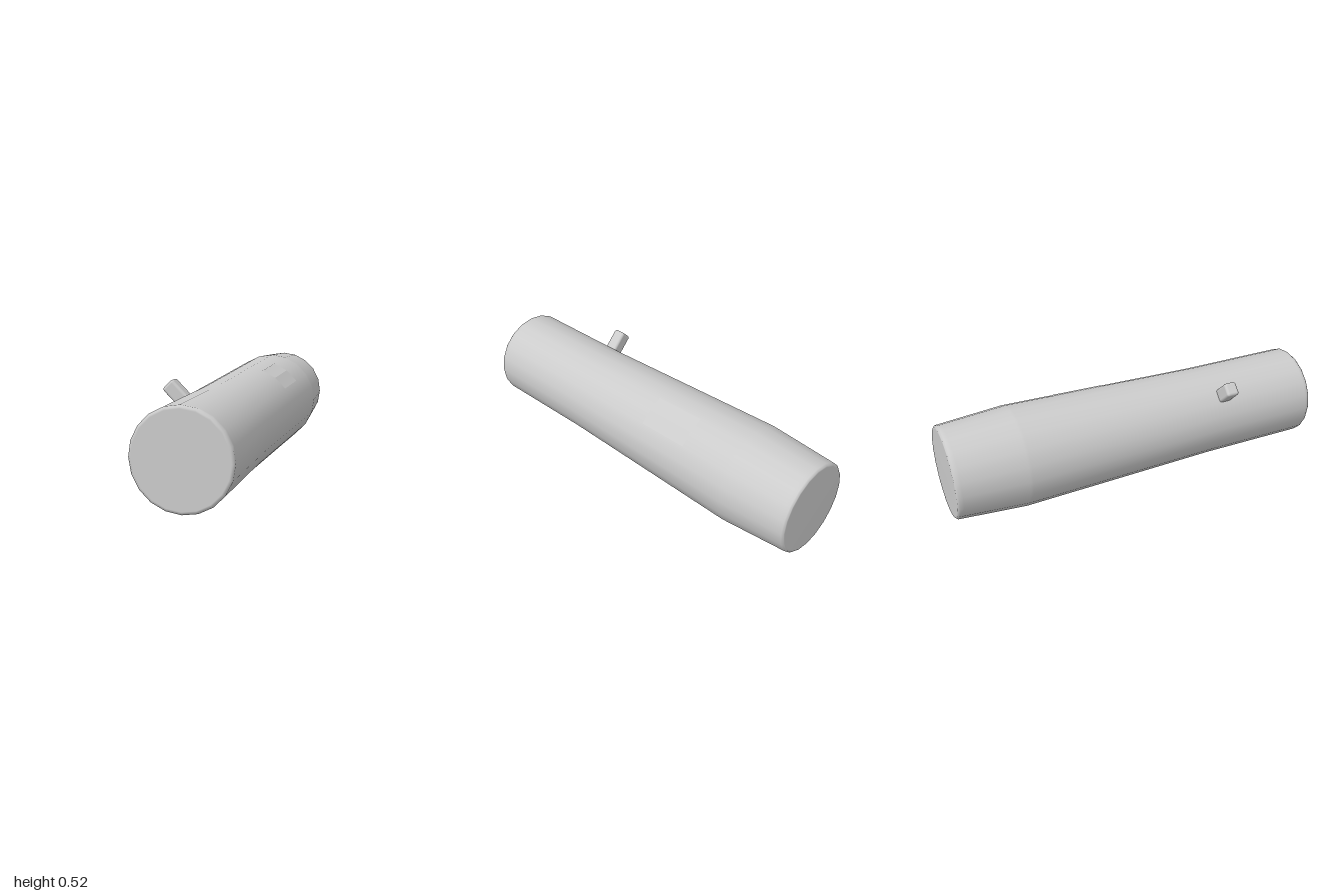
import * as THREE from 'three';
import { RoundedBoxGeometry } from 'three/addons/geometries/RoundedBoxGeometry.js';

const SIDES = 20;
const AXIS_Y = 0.265;

export function createModel() {
  const model = new THREE.Group();
  model.name = 'taperedTube';
  const material = new THREE.MeshStandardMaterial({ color: 0xcccccc });
  const panelMaterial = new THREE.MeshStandardMaterial({
    color: 0xcccccc, flatShading: true, side: THREE.DoubleSide,
  });

  const add = (name, geometry, mat = material) => {
    const mesh = new THREE.Mesh(geometry, mat);
    mesh.name = name;
    mesh.position.y = AXIS_Y;
    model.add(mesh);
    return mesh;
  };

  // Body: [radius, z] from the back cap to the front cap, softly bevelled ends
  const profile = [
    [0, -1], [0.222, -1], [0.23, -0.999], [0.238, -0.99], [0.2395, -0.97],
    [0.2625, -0.645], [0.2625, -0.63],
    [0.238, 0.42], [0.238, 0.975], [0.238, 0.99], [0.23, 0.999], [0.222, 1], [0, 1],
  ].map(([r, z]) => new THREE.Vector2(r, z));
  add('body', new THREE.LatheGeometry(profile, SIDES).rotateX(Math.PI / 2));

  // Side panel: two facets lying on the tapered wall, upper left
  const step = (2 * Math.PI) / SIDES;
  const panel = new THREE.CylinderGeometry(
    0.2513, 0.2576, 0.27, 2, 1, true, Math.PI - 3 * step, 2 * step);
  panel.rotateX(Math.PI / 2).translate(0, 0, -0.235);
  add('sidePanel', panel, panelMaterial);

  // Peg: rounded stub leaning 45 degrees out of the upper right wall
  const peg = new RoundedBoxGeometry(0.072, 0.14, 0.068, 3, 0.014);
  peg.translate(0, 0.272, 0.478).rotateZ(Math.PI / 4);
  add('peg', peg);

  return model;
}
